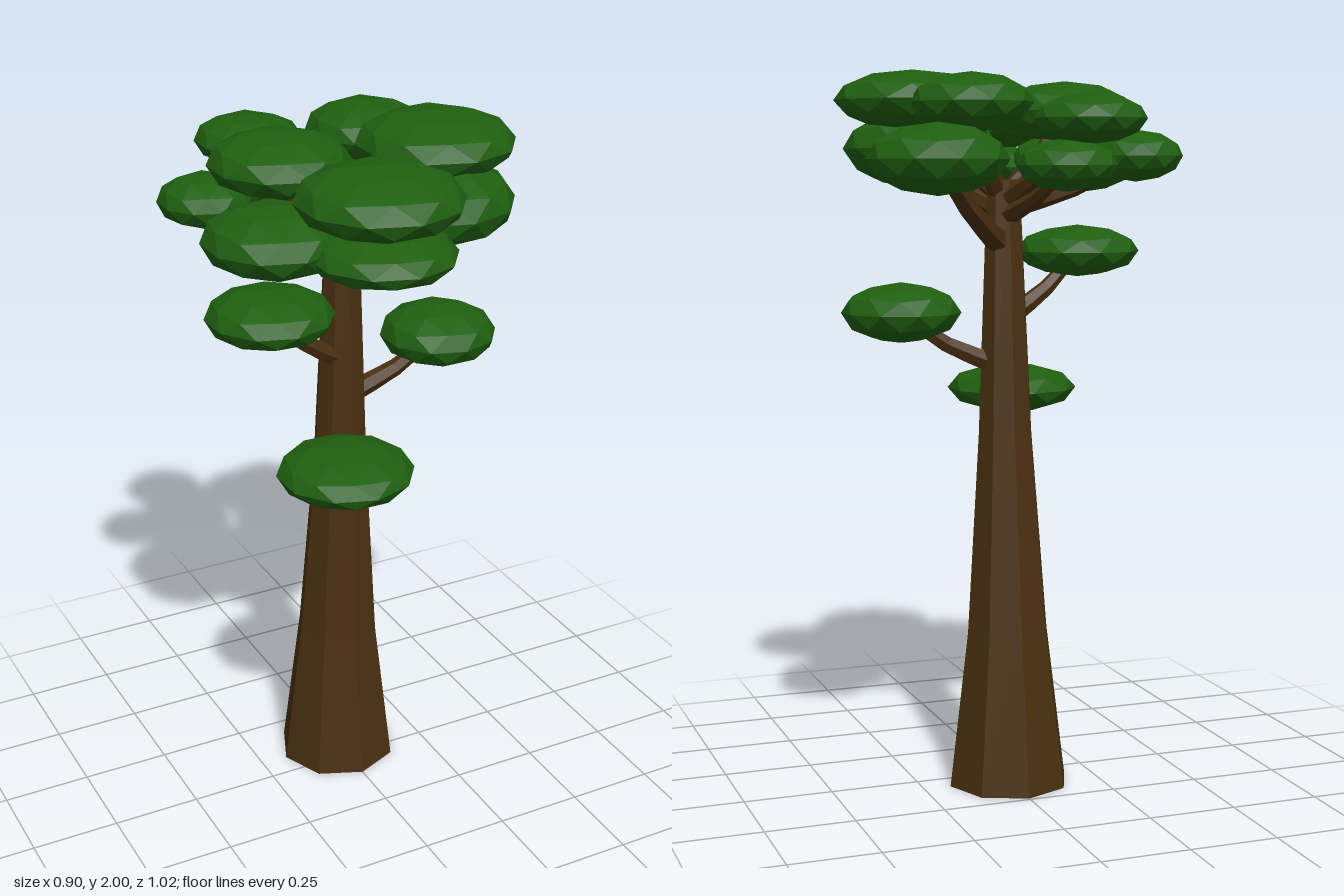
import * as THREE from 'three';

const bark = new THREE.MeshStandardMaterial({ color: 0x4a3010, flatShading: true });
const leaf = new THREE.MeshStandardMaterial({ color: 0x1f5f10, flatShading: true });

// Eight-sided trunk: [height, radius, z offset] from the flared foot to the tip
const TRUNK = [[0, 0.173, -0.07], [0.44, 0.118, -0.065], [1.0, 0.078, -0.045], [1.7, 0.048, -0.03]];

function makeTrunk() {
  const last = TRUNK.length - 1;
  const geo = new THREE.CylinderGeometry(1, 1, last, 8, last);
  const p = geo.attributes.position;
  for (let i = 0; i < p.count; i++) {
    const [y, r, z] = TRUNK[Math.round(p.getY(i) + last / 2)];
    p.setXYZ(i, p.getX(i) * r, y, p.getZ(i) * r + z);
  }
  const mesh = new THREE.Mesh(geo, bark);
  mesh.name = 'trunk';
  return mesh;
}

// Tapered branch that leaves the trunk and bends up into its leaf pad
function makeBranch(start, end, radius) {
  const a = new THREE.Vector3(...start), b = new THREE.Vector3(...end);
  const mid = a.clone().lerp(b, 0.55);
  mid.y -= 0.02;
  const curve = new THREE.CatmullRomCurve3([a, mid, b]);
  const rings = 4, sides = 6;
  const geo = new THREE.TubeGeometry(curve, rings, radius, sides);
  const p = geo.attributes.position, v = new THREE.Vector3();
  for (let i = 0; i < p.count; i++) {
    const t = Math.floor(i / (sides + 1)) / rings;
    const c = curve.getPointAt(t);
    v.fromBufferAttribute(p, i).sub(c).multiplyScalar(1 - 0.5 * t).add(c);
    p.setXYZ(i, v.x, v.y, v.z);
  }
  const mesh = new THREE.Mesh(geo, bark);
  mesh.name = 'branch';
  return mesh;
}

// Faceted ball with its poles on the y axis, squashed into a pad
const padGeometry = new THREE.IcosahedronGeometry(1, 1)
  .rotateX(-Math.atan((1 + Math.sqrt(5)) / 2))
  .rotateY(Math.PI / 2);

function makePad([x, y, z], r, h) {
  const mesh = new THREE.Mesh(padGeometry, leaf);
  mesh.position.set(x, y, z);
  mesh.scale.set(r, h, r);
  mesh.name = 'leafPad';
  return mesh;
}

// Each pad: centre, radius, half height, branch root, branch radius
const PADS = [
  // Lower side pads
  [[-0.115, 1.095, 0.215], 0.188, 0.069, [-0.02, 0.965, -0.02], 0.034],
  [[0.29, 1.34, -0.01], 0.165, 0.083, [0.02, 1.19, -0.04], 0.032],
  [[-0.245, 1.5, 0.03], 0.175, 0.073, [-0.02, 1.32, -0.02], 0.03],
  // Lower crown
  [[0.27, 1.755, -0.28], 0.188, 0.095, [0.01, 1.52, -0.04], 0.036],
  [[-0.06, 1.735, 0.315], 0.194, 0.067, [0, 1.59, -0.01], 0.034],
  [[-0.275, 1.75, 0.132], 0.19, 0.09, [-0.01, 1.62, -0.03], 0.03],
  [[0.185, 1.785, 0.13], 0.22, 0.11, [0.01, 1.62, -0.02], 0.03],
  [[-0.325, 1.765, -0.195], 0.128, 0.07, [-0.01, 1.62, -0.04], 0.028],
  [[-0.07, 1.74, -0.325], 0.135, 0.07, [0, 1.6, -0.05], 0.028],
  // Upper crown
  [[-0.12, 1.86, -0.362], 0.15, 0.067, [0, 1.64, -0.04], 0.03],
  [[0.14, 1.905, -0.168], 0.166, 0.08, [0.01, 1.65, -0.03], 0.03],
  [[0.235, 1.915, 0.05], 0.217, 0.083, [0.01, 1.66, -0.03], 0.03],
  [[-0.17, 1.885, -0.055], 0.192, 0.083, [-0.01, 1.66, -0.03], 0.03],
  [[-0.057, 1.87, 0.29], 0.221, 0.088, [0, 1.6, -0.01], 0.034],
];

export function createModel() {
  const tree = new THREE.Group();
  tree.name = 'tree';
  const branches = new THREE.Group();
  branches.name = 'branches';
  const foliage = new THREE.Group();
  foliage.name = 'foliage';
  for (const [centre, r, h, root, thickness] of PADS) {
    foliage.add(makePad(centre, r, h));
    branches.add(makeBranch(root, centre, thickness));
  }
  tree.add(makeTrunk(), branches, foliage);
  return tree;
}
